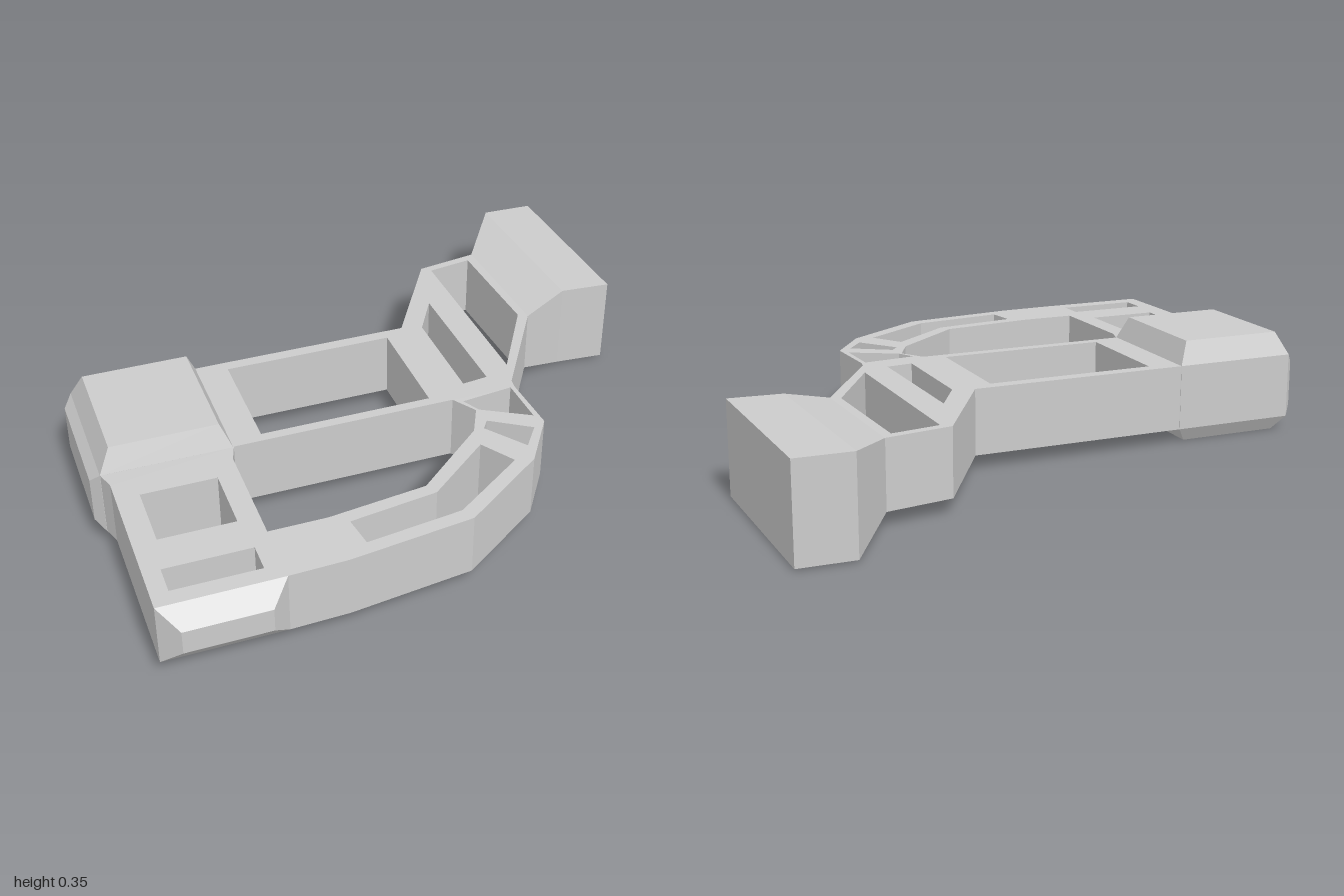
import * as THREE from 'three';

const material = new THREE.MeshStandardMaterial({ color: 0xcccccc, flatShading: true });
const LOW = 0.05, HIGH = 0.272;

const points = list => list.map(([x, z]) => new THREE.Vector2(x, z));
const rect = (x0, x1, z0, z1) => [[x0, z0], [x1, z0], [x1, z1], [x0, z1]];

// Rectangle across an axis (0 = x, 1 = y, 2 = z); u and v are the next two axes in cyclic order
function ring(axis, t, u0, u1, v0, v1) {
  return [[u0, v0], [u1, v0], [u1, v1], [u0, v1]].map(([u, v]) => {
    const p = [0, 0, 0];
    p[axis] = t;
    p[(axis + 1) % 3] = u;
    p[(axis + 2) % 3] = v;
    return p;
  });
}

// Closed solid through a series of four-cornered rings
function loft(rings) {
  const pos = [];
  const quad = (a, b, c, d) => pos.push(...a, ...b, ...c, ...a, ...c, ...d);
  for (let i = 0; i < rings.length - 1; i++) {
    const r = rings[i], s = rings[i + 1];
    for (let j = 0; j < 4; j++) {
      const k = (j + 1) % 4;
      quad(r[j], r[k], s[k], s[j]);
    }
  }
  quad(...rings[0].slice().reverse());
  quad(...rings[rings.length - 1]);
  const geo = new THREE.BufferGeometry();
  geo.setAttribute('position', new THREE.Float32BufferAttribute(pos, 3));
  geo.computeVertexNormals();
  return geo;
}

function frameGeometry() {
  const outline = [
    [-0.7, -0.2], [-0.54, -0.272], [0.21, -0.272], [0.43, -0.635], [0.65, -0.67],
    [0.665, -0.19], [0.44, 0.165], [0.435, 0.2], [0.445, 0.41], [0.33, 0.58],
    [0.04, 0.78], [-0.37, 0.83], [-0.56, 0.835], [-0.95, 0.835], [-0.95, 0.26],
    [-0.97, 0.2], [-0.9, 0.15], [-0.7, 0.15],
  ];
  const holes = [
    // large opening inside the loop
    [[-0.54, 0.2], [-0.56, 0.26], [-0.56, 0.63], [-0.37, 0.63], [-0.04, 0.59],
      [0.21, 0.38], [0.26, 0.28], [0.21, 0.2]],
    // body window
    rect(-0.44, 0.14, -0.23, 0.165),
    // two slanted rear windows
    [[0.28, -0.25], [0.365, -0.395], [0.37, 0.115], [0.28, 0.125]],
    [[0.46, -0.61], [0.62, -0.635], [0.635, -0.21], [0.465, 0.07]],
    // windows along the curved guard
    [[0.24, 0.22], [0.42, 0.2], [0.425, 0.37], [0.27, 0.28]],
    [[0.27, 0.345], [0.4, 0.43], [0.34, 0.51], [0.245, 0.38]],
    [[0.2, 0.455], [0.27, 0.565], [0.02, 0.735], [-0.3, 0.775], [-0.315, 0.67], [-0.02, 0.63]],
    // front arm windows
    rect(-0.875, -0.63, 0.335, 0.555),
    rect(-0.895, -0.615, 0.685, 0.78),
  ];
  const shape = new THREE.Shape(points(outline));
  shape.holes = holes.map(h => new THREE.Path(points(h)));
  const geo = new THREE.ExtrudeGeometry(shape, { depth: HIGH - LOW, bevelEnabled: false });
  geo.rotateX(Math.PI / 2).translate(0, HIGH, 0);
  // The plate thins slightly toward the front
  const p = geo.attributes.position, mid = (LOW + HIGH) / 2;
  for (let i = 0; i < p.count; i++) {
    const inset = 0.007 * THREE.MathUtils.clamp((p.getZ(i) - 0.2) / 0.63, 0, 1);
    p.setY(i, p.getY(i) - Math.sign(p.getY(i) - mid) * inset);
  }
  geo.computeVertexNormals();
  return geo;
}

// Upright section of the end block, given its back and front edge
function stockRing(back, front, y0, y1) {
  const [xb, zb] = back, [xf, zf] = front;
  return [[xb, y0, zb], [xb, y1, zb], [xf, y1, zf], [xf, y0, zf]];
}

export function createModel() {
  const group = new THREE.Group();
  const add = (name, geo) => {
    const mesh = new THREE.Mesh(geo, material);
    mesh.name = name;
    group.add(mesh);
  };

  add('frame', frameGeometry());

  // Thick block with chamfered top and bottom
  add('sideBlock', loft([
    ring(1, 0, -0.24, 0.172, -0.93, -0.577),
    ring(1, LOW, -0.272, 0.203, -0.97, -0.543),
    ring(1, HIGH, -0.272, 0.203, -0.97, -0.543),
    ring(1, 0.35, -0.24, 0.172, -0.93, -0.577),
  ]));

  // Shallow bevelled cap on the outer end of the block
  add('sideBlockCap', loft([
    ring(0, -1, 0.083, 0.238, -0.24, 0.172),
    ring(0, -0.97, LOW, HIGH, -0.272, 0.203),
  ]));

  // Bevelled nose of the front arm
  add('frontNose', loft([
    ring(2, 0.835, -0.95, -0.56, LOW + 0.007, HIGH - 0.007),
    ring(2, 0.888, -0.89, -0.62, 0.12, 0.2),
  ]));

  // Flared end block
  add('flaredEnd', loft([
    stockRing([0.65, -0.67], [0.665, -0.19], LOW, HIGH),
    stockRing([0.805, -0.89], [0.825, -0.242], 0.006, 0.315),
    stockRing([0.985, -0.885], [1, -0.228], 0.006, 0.315),
  ]));

  return group;
}
